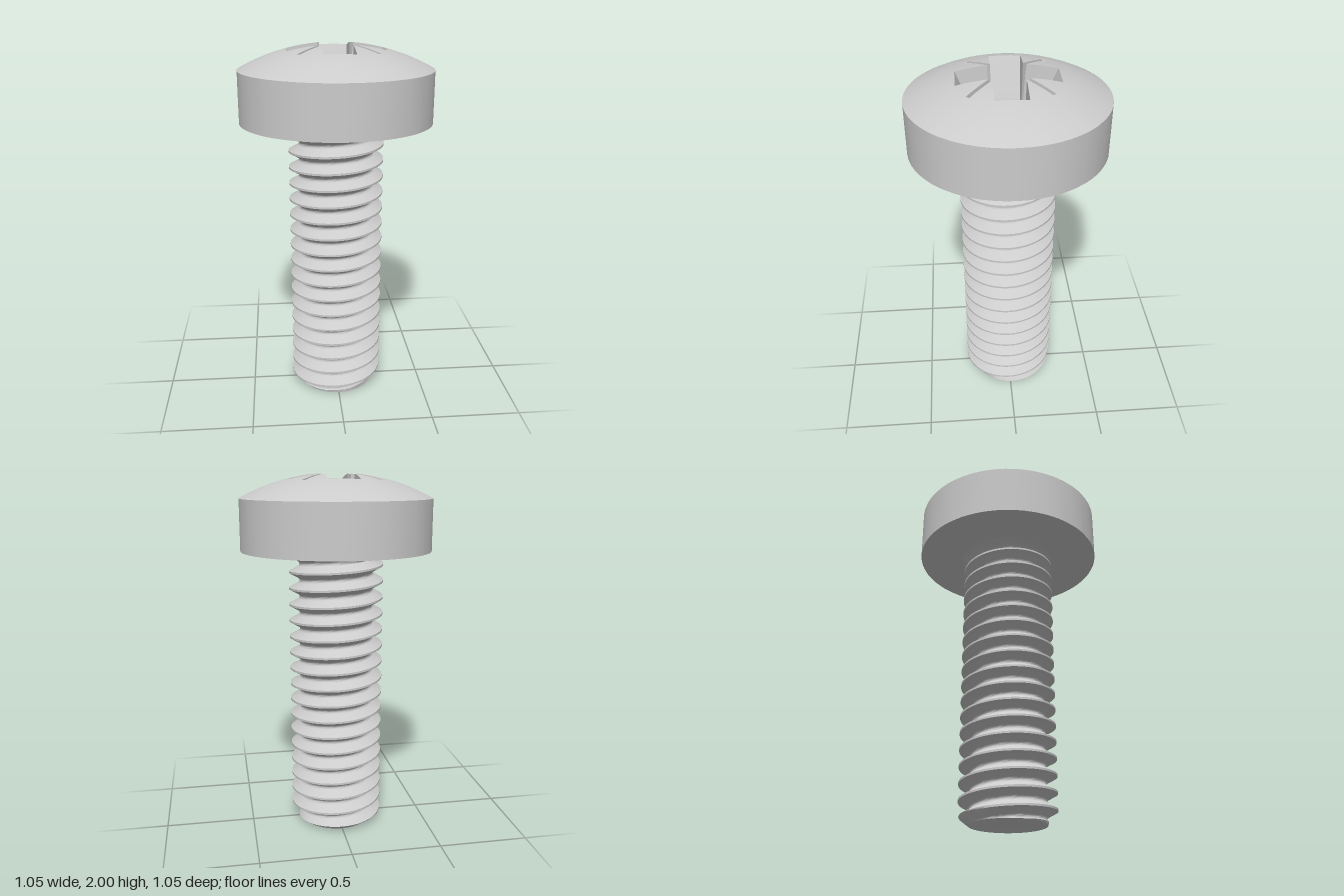
import * as THREE from 'three';
import { toCreasedNormals } from 'three/addons/utils/BufferGeometryUtils.js';

const { lerp, clamp } = THREE.MathUtils;
const TAU = Math.PI * 2;

// Skin a list of closed loops of [x, y, z] points, counter-clockwise seen from above
function skin(loops, crease) {
  const n = loops[0].length, index = [];
  for (let k = 0; k < loops.length - 1; k++) {
    for (let i = 0; i < n; i++) {
      const a = k * n + i, b = k * n + (i + 1) % n;
      index.push(a, b, b + n, a, b + n, a + n);
    }
  }
  const geo = new THREE.BufferGeometry();
  geo.setAttribute('position', new THREE.Float32BufferAttribute(loops.flat(2), 3));
  geo.setIndex(index);
  return toCreasedNormals(geo, crease);
}

// Head dimensions: the dome is a spherical cap
const HEAD_R = 0.525, HEAD_BASE = 1.59, RIM_Y = 1.87, APEX = 2.006, FLOOR = 1.77;
const CAP = APEX - RIM_Y, SPHERE_R = (HEAD_R ** 2 + CAP ** 2) / (2 * CAP);
const domeY = r => APEX - SPHERE_R + Math.sqrt(SPHERE_R ** 2 - r * r);

// Cross-shaped outline with a thin diagonal slit at each inner corner.
// f is the depth fraction (0 = dome, 1 = floor), tip is how far the slits reach.
function crossLoop(f, tip) {
  const len = lerp(0.262, 0.177, f), w = lerp(0.083, 0.077, f), s = 0.011;
  const c = w + s * Math.SQRT2, p = (tip - s) / Math.SQRT2, q = (tip + s) / Math.SQRT2;
  const quarter = [[-w, len], [w, len], [w, c], [p, q], [q, p], [c, w]];
  const corners = [];
  for (let k = 0; k < 4; k++) {
    const co = Math.cos(k * Math.PI / 2), si = Math.sin(k * Math.PI / 2);
    for (const [x, z] of quarter) corners.push([x * co + z * si, z * co - x * si]);
  }
  const loop = [], steps = 6;
  corners.forEach(([x0, z0], i) => {
    const [x1, z1] = corners[(i + 1) % corners.length];
    for (let j = 0; j < steps; j++) {
      const x = lerp(x0, x1, j / steps), z = lerp(z0, z1, j / steps);
      loop.push([x, lerp(domeY(Math.hypot(x, z)), FLOOR, f), z]);
    }
  });
  return loop;
}

// Circle whose points lie at the same angles as those of another loop
const ringLike = (loop, r, y) => loop.map(([x, , z]) => {
  const d = Math.hypot(x, z);
  return [x / d * r, y, z / d * r];
});

function headGeometry(outline) {
  const loops = [
    ringLike(outline, 0.2, HEAD_BASE),
    ringLike(outline, HEAD_R, HEAD_BASE),
    ringLike(outline, HEAD_R, RIM_Y),
  ];
  const rings = 12;
  for (let k = 1; k <= rings; k++) {
    loops.push(outline.map(([x, , z]) => {
      const d = Math.hypot(x, z), r = lerp(HEAD_R, d, k / rings);
      return [x / d * r, domeY(r), z / d * r];
    }));
  }
  return skin(loops, 0.6);
}

function recessGeometry(outline) {
  const floor = crossLoop(1, 0.13);
  return skin([
    outline,
    crossLoop(0.13, 0.265),
    crossLoop(0.2, 0.15),
    floor,
    ringLike(floor, 0.119, FLOOR),
    ringLike(floor, 0, FLOOR - 0.035),
  ], 0.3);
}

// Thread: half profile as [distance from crest, radius]
const PITCH = 0.0915, FIRST_CREST = 0.077, SHANK_TOP = 1.595;
const HALF = [[0.0055, 0.262], [0.033, 0.212], [0.038, 0.206], [PITCH / 2, 0.204]];

function shankRadius(y, turn) {
  const t = (y - FIRST_CREST) / PITCH - turn;
  const d = Math.abs(t - Math.round(t)) * PITCH;
  let r = HALF[0][1];
  for (let i = 1; i < HALF.length; i++) {
    const [d0, r0] = HALF[i - 1], [d1, r1] = HALF[i];
    if (d > d0) r = lerp(r0, r1, Math.min(1, (d - d0) / (d1 - d0)));
  }
  r = Math.min(r, 0.208 + y * 1.3); // chamfered tip
  const flare = clamp((y - 1.535) / 0.06, 0, 1); // fillet under the head
  return Math.max(r, 0.204 + 0.08 * flare ** 2);
}

function shankGeometry() {
  const sides = 72, loops = [];
  const offsets = [...HALF.map(h => -h[0]).reverse(), 0, ...HALF.slice(0, -1).map(h => h[0])];
  const ring = f => Array.from({ length: sides }, (_, i) => f(i / sides));
  const at = (y, turn) => {
    const r = shankRadius(y, turn), a = turn * TAU;
    return [Math.sin(a) * r, y, Math.cos(a) * r];
  };
  loops.push(ring(() => [0, 0, 0])); // flat end
  loops.push(ring(turn => at(0, turn)));
  for (let k = -2; k <= 17; k++) {
    for (const o of offsets) {
      // loops follow the helix, cut off at both ends
      loops.push(ring(turn => at(clamp(FIRST_CREST + (k + turn) * PITCH + o, 0, SHANK_TOP), turn)));
    }
  }
  // Close the one-pitch step of the helix by joining each loop to the next turn's start
  const n = sides, per = offsets.length, index = [];
  const last = loops.length;
  for (let k = 0; k < last - 1; k++) {
    for (let i = 0; i < n; i++) {
      const wrap = i === n - 1;
      const up = row => (wrap && row >= 2 ? Math.min(row + per, last - 1) * n : row * n + (wrap ? 0 : i + 1));
      const a = k * n + i, b = up(k), c = up(k + 1), d = a + n;
      index.push(a, b, c, a, c, d);
    }
  }
  const geo = new THREE.BufferGeometry();
  geo.setAttribute('position', new THREE.Float32BufferAttribute(loops.flat(2), 3));
  geo.setIndex(index);
  return toCreasedNormals(geo, 0.7);
}

export function createModel() {
  const group = new THREE.Group();
  group.name = 'machineScrew';
  const material = new THREE.MeshStandardMaterial({ color: 0xcccccc });
  const add = (name, geometry) => {
    const mesh = new THREE.Mesh(geometry, material);
    mesh.name = name;
    group.add(mesh);
  };
  const outline = crossLoop(0, 0.29);
  add('head', headGeometry(outline));
  add('driveRecess', recessGeometry(outline));
  add('threadedShank', shankGeometry());
  return group;
}
